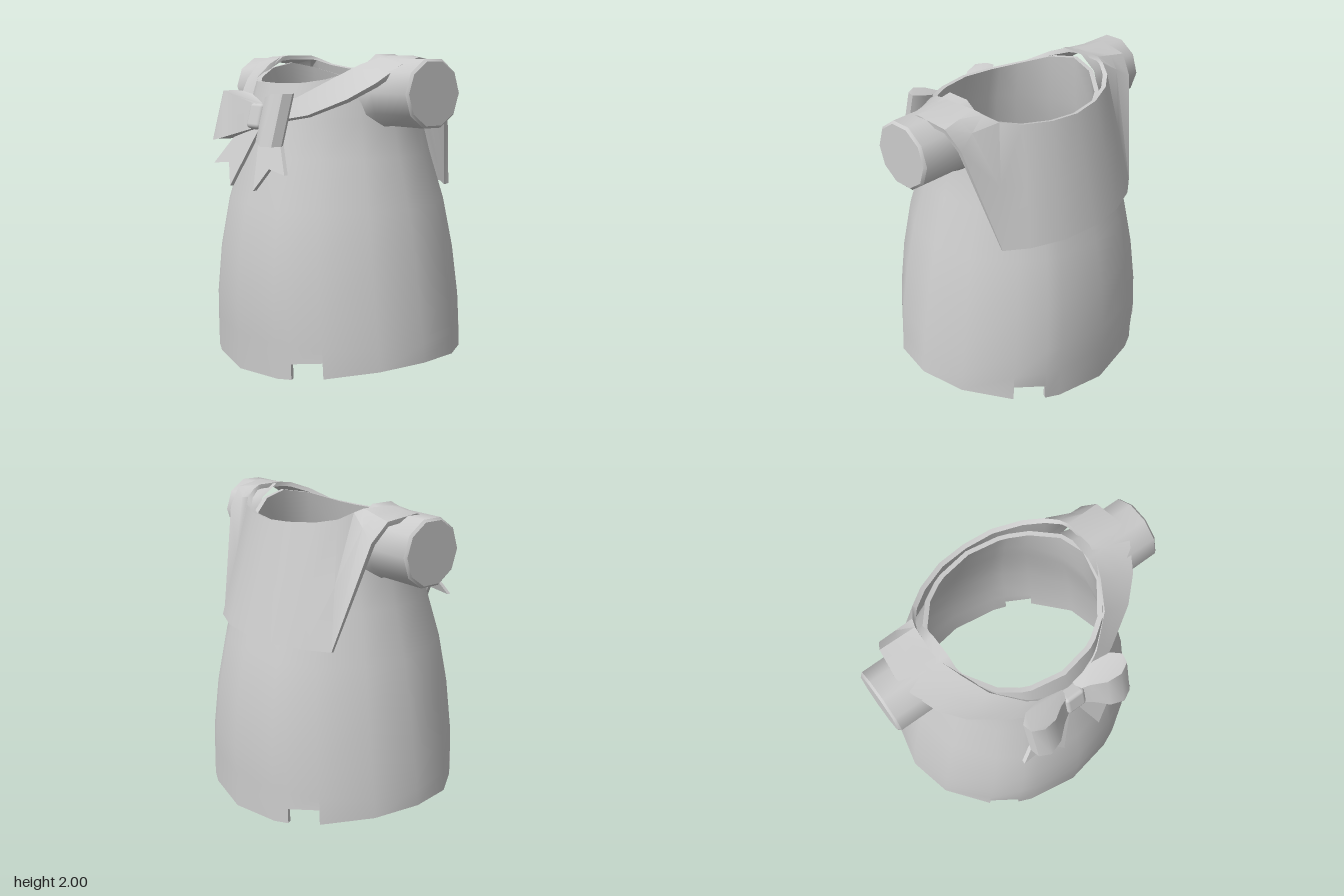
import * as THREE from 'three';
import { toCreasedNormals } from 'three/addons/utils/BufferGeometryUtils.js';
import { RoundedBoxGeometry } from 'three/addons/geometries/RoundedBoxGeometry.js';

const material = new THREE.MeshStandardMaterial({ color: 0xcccccc });
const V = (x, y, z) => new THREE.Vector3(x, y, z);

function part(name, geometry) {
  const mesh = new THREE.Mesh(geometry, material);
  mesh.name = name;
  return mesh;
}

// Solid sheet between two grids of points [column][row]
function shell(outer, inner, closed, crease = 0.7) {
  const pos = [], n = outer.length, last = outer[0].length - 1;
  const tri = (a, b, c) => {
    if (b.clone().sub(a).cross(c.clone().sub(a)).length() < 1e-7) return;
    for (const p of [a, b, c]) pos.push(p.x, p.y, p.z);
  };
  const quad = (a, b, c, d) => { tri(a, b, c); tri(a, c, d); };
  for (let i = 0; i < (closed ? n : n - 1); i++) {
    const o = outer[i], o2 = outer[(i + 1) % n], q = inner[i], q2 = inner[(i + 1) % n];
    for (let j = 0; j < last; j++) {
      quad(o[j], o2[j], o2[j + 1], o[j + 1]);
      quad(q[j], q[j + 1], q2[j + 1], q2[j]);
    }
    quad(o[0], q[0], q2[0], o2[0]);
    quad(o[last], o2[last], q2[last], q[last]);
  }
  if (!closed) for (let j = 0; j < last; j++) {
    const [o, q, e, f] = [outer[0], inner[0], outer[n - 1], inner[n - 1]];
    quad(o[j], o[j + 1], q[j + 1], q[j]);
    quad(e[j], f[j], f[j + 1], e[j + 1]);
  }
  const g = new THREE.BufferGeometry();
  g.setAttribute('position', new THREE.Float32BufferAttribute(pos, 3));
  return toCreasedNormals(g, crease);
}

// Dress profile: height, half width, front depth, back depth
const PROFILE = [
  [0, 0.9, 0.77, 0.78], [0.15, 0.9, 0.775, 0.78], [0.43, 0.865, 0.785, 0.78],
  [0.75, 0.81, 0.765, 0.75], [1.07, 0.74, 0.71, 0.69], [1.38, 0.645, 0.62, 0.595],
  [1.6, 0.59, 0.575, 0.54], [1.83, 0.56, 0.515, 0.47], [2, 0.55, 0.5, 0.45],
];
function radii(y) {
  let k = 0;
  while (k < PROFILE.length - 2 && y > PROFILE[k + 1][0]) k++;
  const a = PROFILE[k], b = PROFILE[k + 1], t = (y - a[0]) / (b[0] - a[0]);
  return [1, 2, 3].map((c) => a[c] + (b[c] - a[c]) * t);
}

function dressBody() {
  // Each column: angle in degrees and notch depth; doubled columns make notch walls
  const N = 0.1;
  const quarter = [[0, 0], [22.5, 0], [29.3, 0], [29.3, N], [43.5, N], [43.5, 0], [67.5, 0], [90, 0]];
  const back = quarter.map(([a, h]) => [180 - a, h]).reverse().slice(1);
  const half = [...quarter, ...back];
  const columns = [...half, ...half.slice(1, -1).map(([a, h]) => [360 - a, h]).reverse()];
  const grid = (inset) => columns.map(([deg, notch]) => {
    const a = deg * Math.PI / 180, s = Math.sin(a), c = Math.cos(a);
    const hem = 0.01 + 0.13 * s * s + notch;
    const top = 1.83 + 0.12 * s ** 4;
    return [hem, 0.25, 0.43, 0.75, 1.07, 1.38, 1.6, top].map((y) => {
      const [rx, zf, zb] = radii(y);
      return V((rx - inset) * s, y, ((c > 0 ? zf : zb) - inset) * c);
    });
  });
  return part('dressBody', shell(grid(0), grid(0.03), true));
}

function sailorCollar() {
  // Stations from left front tip to centre back: outer edge, then neck edge
  const half = [
    [0, 1.62, 0.6, 0, 1.67, 0.57],
    [0.2, 1.61, 0.58, 0.12, 1.69, 0.56],
    [0.38, 1.645, 0.5, 0.26, 1.75, 0.49],
    [0.6, 1.745, 0.37, 0.42, 1.86, 0.35],
    [0.72, 1.84, 0.25, 0.5, 1.945, 0.2],
    [0.79, 1.95, 0.11, 0.55, 1.99, 0.08],
    [0.81, 1.99, 0, 0.565, 2, 0],
    [0.785, 1.96, -0.2, 0.55, 2, -0.18],
    [0.75, 1.84, -0.29, 0.53, 1.98, -0.24],
    [0.6, 1.18, -0.46, 0.48, 1.94, -0.32],
    [0.46, 1.18, -0.56, 0.37, 1.915, -0.4],
    [0.24, 1.18, -0.645, 0.19, 1.9, -0.47],
    [0, 1.18, -0.67, 0, 1.89, -0.49],
  ];
  const mirrored = half.slice(0, -1).reverse().map(([a, b, c, d, e, f]) => [-a, b, c, -d, e, f]);
  const stations = [...half, ...mirrored].map((s) => [V(...s.slice(0, 3)), V(...s.slice(3))]);
  const outer = stations.map(([p, q]) => [0, 0.5, 1].map((t) => p.clone().lerp(q, t)));
  const inner = outer.map((column, i) => {
    const before = outer[Math.max(i - 1, 0)], after = outer[Math.min(i + 1, outer.length - 1)];
    const normal = after[1].clone().sub(before[1]).cross(column[2].clone().sub(column[0])).normalize();
    return column.map((p) => p.clone().addScaledVector(normal, -0.03));
  });
  return part('sailorCollar', shell(outer, inner, false, 0.6));
}

// Short ten-sided sleeve with a bevelled, closed end
function sleeve(side) {
  const profile = [[0.24, 0.5], [0.212, 0.62], [0.21, 0.935], [0.195, 0.95], [0, 0.95]]
    .map(([r, x]) => new THREE.Vector2(r, x));
  const g = new THREE.LatheGeometry(profile, 10);
  g.rotateZ(-side * Math.PI / 2);
  g.translate(0, 1.78, 0);
  return part(side > 0 ? 'leftSleeve' : 'rightSleeve', toCreasedNormals(g, 0.7));
}

function mapVertices(g, rule) {
  const p = g.attributes.position;
  for (let i = 0; i < p.count; i++) p.setXYZ(i, ...rule(p.getX(i), p.getY(i), p.getZ(i)));
  return g;
}

function bowLoop(side) {
  // Teardrop outline seen from above, its height growing away from the knot
  const points = [[0.04, 0.565], [0.2, 0.565], [0.31, 0.59], [0.365, 0.64], [0.35, 0.7],
    [0.28, 0.735], [0.19, 0.715], [0.11, 0.655], [0.04, 0.62]]
    .map(([x, z]) => new THREE.Vector2(side * x, -z));
  const g = new THREE.ExtrudeGeometry(new THREE.Shape(points), { depth: 2, bevelEnabled: false });
  g.rotateX(-Math.PI / 2);
  mapVertices(g, (x, y, z) => {
    const t = Math.min(1, Math.max(0, (Math.abs(x) - 0.05) / 0.2));
    const h = (y - 1) * (0.075 + 0.08 * t);
    return [x, 1.62 + h, z - h * 0.27];
  });
  return part(side > 0 ? 'leftBowLoop' : 'rightBowLoop', toCreasedNormals(g, 0.8));
}

function bowTail(side) {
  const points = [[0, 1.57], [0.01, 1.53], [0.14, 1.18], [0.24, 1.32], [0.42, 1.3], [0.28, 1.47], [0.06, 1.59]]
    .map(([x, y]) => new THREE.Vector2(side * x, y));
  const g = new THREE.ExtrudeGeometry(new THREE.Shape(points), { depth: 0.025, bevelEnabled: false });
  mapVertices(g, (x, y, z) => [x, y, z + 0.57 + (1.57 - y) * 0.38]);
  g.computeVertexNormals();
  return part(side > 0 ? 'leftBowTail' : 'rightBowTail', g);
}

function bow() {
  const group = new THREE.Group();
  group.name = 'bow';
  const knot = part('bowKnot', new RoundedBoxGeometry(0.14, 0.16, 0.1, 2, 0.025));
  knot.position.set(0, 1.62, 0.6);
  knot.rotation.x = -0.26;
  group.add(knot);
  for (const side of [1, -1]) group.add(bowLoop(side), bowTail(side));
  return group;
}

export function createModel() {
  const model = new THREE.Group();
  model.name = 'sailorDress';
  model.add(dressBody(), sailorCollar(), sleeve(1), sleeve(-1), bow());
  return model;
}
